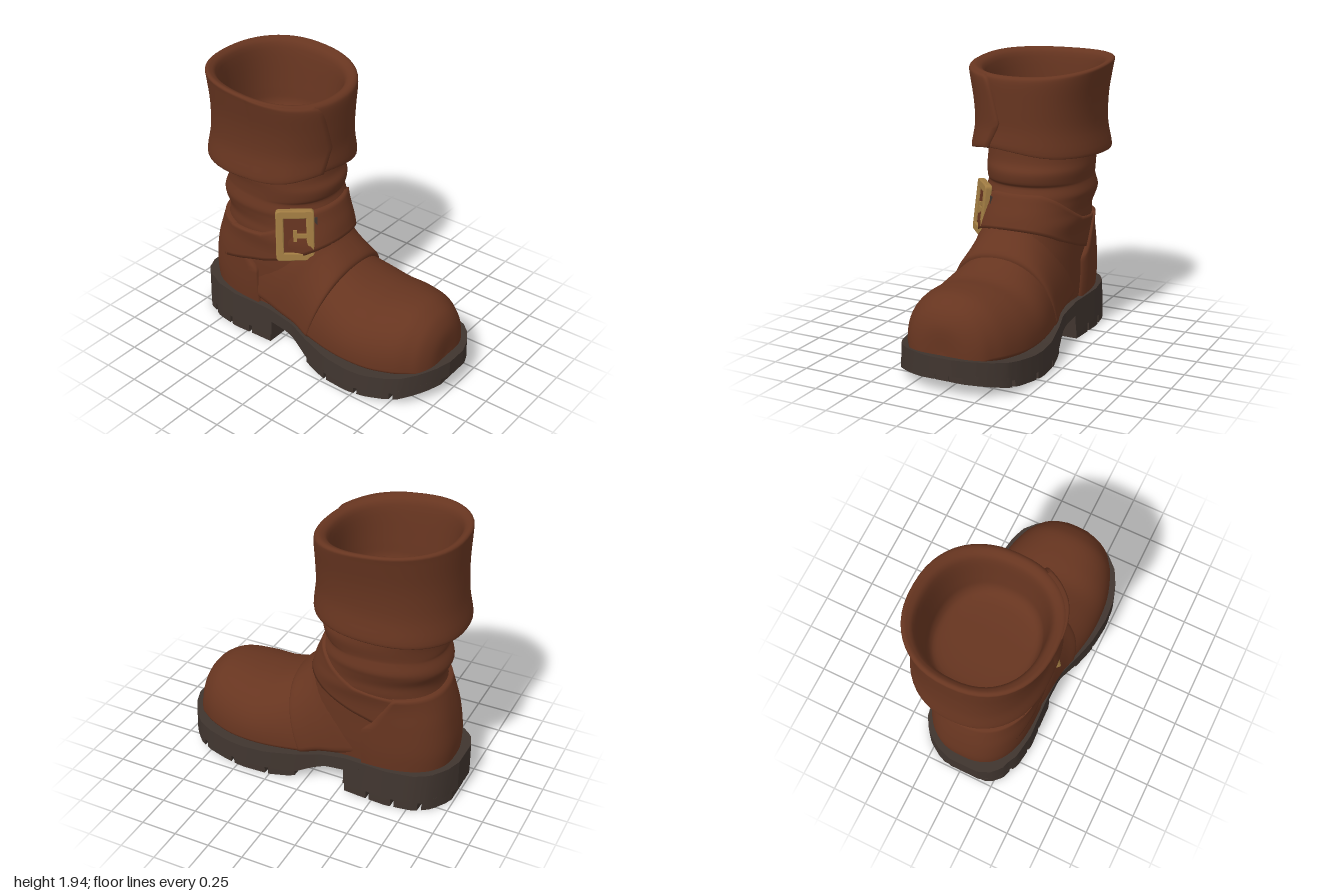
import * as THREE from 'three';

const leather = new THREE.MeshStandardMaterial({ color: 0x673520 });
leather.name = 'brown leather';
const rubber = new THREE.MeshStandardMaterial({ color: 0x40352f });
rubber.name = 'dark rubber';
const brass = new THREE.MeshStandardMaterial({ color: 0xa27d43 });
brass.name = 'brass';

const { lerp, clamp } = THREE.MathUtils;

// Piecewise linear lookup through [key, value] pairs with rising keys
const table = (pts) => (k) => {
  let i = 0;
  while (i < pts.length - 2 && k > pts[i + 1][0]) i++;
  const [a, b] = [pts[i], pts[i + 1]];
  return lerp(a[1], b[1], clamp((k - a[0]) / (b[0] - a[0]), 0, 1));
};

// Ring: [frontZ, frontY, backZ, backY, halfWidth, centreX, centre along front-back, roundness]
function ringAt(rings, k) {
  const i = clamp(Math.floor(k), 0, rings.length - 2), f = k - i;
  const at = (n) => rings[clamp(n, 0, rings.length - 1)];
  return at(i).map((b, n) => {
    const a = at(i - 1)[n], c = at(i + 1)[n], d = at(i + 2)[n];
    return b + 0.5 * f * (c - a + f * (2 * a - 5 * b + 4 * c - d + f * (3 * (b - c) + d - a)));
  });
}

// Point on a lofted surface; t = 0 is the front (or top), o pushes outward
function surf(rings, k, t, o = 0) {
  const [az, ay, bz, by, w, cx, c, n] = ringAt(rings, k);
  const oz = lerp(az, bz, c), oy = lerp(ay, by, c);
  const cos = Math.cos(t), sin = Math.sin(t);
  const dz = (cos > 0 ? az : bz) - oz, dy = (cos > 0 ? ay : by) - oy;
  const len = Math.hypot(dz, dy) || 1e-4;
  const s = Math.abs(cos) ** (2 / n) * (len + o) / len;
  return [cx + Math.sign(sin) * Math.abs(sin) ** (2 / n) * (w + o), oy + dy * s, oz + dz * s];
}

// Grid of quads from fn(u, v); wrap joins the last column to the first
function grid(nu, nv, fn, wrap = false) {
  const pos = [], idx = [], cols = wrap ? nu : nu + 1;
  for (let j = 0; j <= nv; j++) for (let i = 0; i < cols; i++) pos.push(...fn(i / nu, j / nv));
  for (let j = 0; j < nv; j++) for (let i = 0; i < nu; i++) {
    const a = j * cols + i, b = j * cols + (i + 1) % cols, c = a + cols, d = b + cols;
    idx.push(a, b, d, a, d, c);
  }
  const g = new THREE.BufferGeometry();
  g.setAttribute('position', new THREE.Float32BufferAttribute(pos, 3));
  g.setIndex(idx);
  g.computeVertexNormals();
  return g;
}
const loft = (rings, point = surf) => grid(52, (rings.length - 1) * 4,
  (u, v) => point(rings, v * (rings.length - 1), u * Math.PI * 2), true);

// Ankle and shaft: [y, frontZ, backZ, halfWidth, centreX]
const upperRings = [
  [0.2, 0.03, -0.91, 0.315, 0.0], [0.4, 0.06, -0.925, 0.332, 0.0], [0.6, 0.09, -0.9, 0.335, 0.0],
  [0.75, 0.075, -0.865, 0.335, 0.005], [0.85, 0.05, -0.835, 0.35, 0.01], [0.92, 0.03, -0.84, 0.347, 0.015],
  [0.99, 0.0, -0.875, 0.36, 0.02], [1.04, -0.02, -0.87, 0.37, 0.022], [1.1, -0.045, -0.845, 0.357, 0.022],
  [1.13, -0.02, -0.845, 0.353, 0.022], [1.2, -0.01, -0.84, 0.358, 0.025], [1.27, -0.04, -0.85, 0.36, 0.02],
  [1.4, -0.05, -0.855, 0.35, 0.02],
].map(([y, f, b, w, cx]) => [f, y, b, y, w, cx, 0.5, table([[0.6, 2.6], [0.95, 2.15]])(y)]);
const upperK = table(upperRings.map((r, i) => [r[1], i]));
const onUpper = (y, t, o) => surf(upperRings, upperK(y), t, o);
function upperAngle(y, z) {
  const [f, , b, , , , , n] = ringAt(upperRings, upperK(y));
  const q = clamp((z - (f + b) / 2) / ((f - b) / 2), -1, 1);
  return Math.acos(Math.sign(q) * Math.abs(q) ** (n / 2));
}

// Foot: rings fan from the toe up to the instep
const foot = (round, rows) => rows.map(([az, ay, bz, by, w]) => [az, ay, bz, by, w, -0.015, 0.82, round]);
const toeRings = foot(2.2, [
  [0.93, 0.262, 0.93, 0.26, 0.001], [0.93, 0.41, 0.93, 0.17, 0.15], [0.89, 0.505, 0.89, 0.17, 0.25],
  [0.83, 0.56, 0.83, 0.17, 0.305], [0.74, 0.597, 0.74, 0.16, 0.36], [0.58, 0.6, 0.58, 0.15, 0.41],
  [0.43, 0.592, 0.4, 0.15, 0.425], [0.3, 0.628, 0.22, 0.15, 0.415], [0.19, 0.675, 0.02, 0.15, 0.38],
]);
const vampRings = foot(2.35, [
  [0.2, 0.66, 0.03, 0.15, 0.37], [0.195, 0.7, 0.02, 0.15, 0.388], [0.13, 0.77, -0.1, 0.18, 0.363],
  [0.075, 0.83, -0.25, 0.2, 0.35], [0.02, 0.9, -0.4, 0.23, 0.342], [-0.1, 0.93, -0.6, 0.25, 0.32],
]);

// Turned-down cuff, over the rim and down to the lining floor
const cuffRings = [
  [-0.06, 1.38, -0.85, 1.35, 0.345], [0.02, 1.325, -0.95, 1.295, 0.43], [0.042, 1.34, -0.972, 1.32, 0.452],
  [0.03, 1.5, -0.945, 1.48, 0.425], [0.033, 1.65, -0.932, 1.68, 0.432], [0.035, 1.8, -0.935, 1.88, 0.465],
  [0.02, 1.845, -0.932, 1.93, 0.472], [-0.02, 1.85, -0.9, 1.932, 0.44], [-0.06, 1.8, -0.865, 1.87, 0.39],
  [-0.085, 1.6, -0.84, 1.6, 0.355], [-0.11, 1.48, -0.82, 1.48, 0.335], [-0.2, 1.43, -0.73, 1.43, 0.26],
  [-0.459, 1.42, -0.461, 1.42, 0.001],
].map((r) => [...r, 0.018, 0.5, 2.25]);
// The rim rises at the sides, and the lower edge lifts near the flap
const rimLift = table([[3, 0], [5, 0.022], [8, 0.022], [9, 0]]);
const hemLift = table([[0, 0.05], [2, 0.05], [3, 0]]);
function cuffPoint(rings, k, t, o) {
  const [x, y, z] = surf(rings, k, t, o);
  return [x, y + rimLift(k) * Math.sin(t) ** 2 + hemLift(k) * Math.max(0, Math.cos(t + 0.3)) ** 6, z];
}

// Sole outline and heights along z
const soleWidth = table([[-1, 0.11], [-0.97, 0.2], [-0.9, 0.29], [-0.78, 0.355], [-0.6, 0.382], [-0.28, 0.365],
  [-0.1, 0.36], [0.05, 0.4], [0.25, 0.45], [0.45, 0.472], [0.6, 0.46], [0.72, 0.43], [0.82, 0.385], [0.9, 0.3], [0.96, 0.2], [1, 0.08]]);
const soleCentre = table([[-1, -0.04], [-0.85, 0], [-0.4, 0], [0.2, -0.015], [0.6, -0.015], [1, 0.01]]);
const soleTop = table([[-1, 0.285], [-0.3, 0.27], [-0.1, 0.23], [0.05, 0.2], [0.3, 0.18], [0.55, 0.185], [0.8, 0.215], [1, 0.25]]);
const soleUnder = table([[-0.4, 0.18], [-0.28, 0.17], [-0.15, 0.15], [-0.02, 0.1], [0.08, 0.05], [0.25, 0.05], [0.5, 0.06], [0.8, 0.095], [1, 0.14]]);
const treadUnder = table([[0.05, 0.03], [0.12, 0.01], [0.25, 0], [0.5, 0.015], [0.8, 0.05], [1, 0.1]]);

// Box bent to the sole outline between z0..z1 and across u0..u1
function soleBlock(z0, z1, u0, u1, bottom, top, segs) {
  const g = new THREE.BoxGeometry(1, 1, 1, 4, 2, segs), p = g.attributes.position;
  for (let i = 0; i < p.count; i++) {
    const z = lerp(z0, z1, p.getZ(i) + 0.5), v = p.getY(i) + 0.5;
    const y = lerp(bottom(z), top(z), v);
    const x = soleCentre(z) + soleWidth(z) * lerp(u0, u1, p.getX(i) + 0.5) * (1 - 0.1 * Math.max(0, y - 0.05));
    p.setXYZ(i, x, y, z);
  }
  g.computeVertexNormals();
  return g;
}

function roundedRect(Target, w, h, r) {
  const s = new Target(), x = w / 2, y = h / 2;
  s.moveTo(-x + r, -y).lineTo(x - r, -y).quadraticCurveTo(x, -y, x, -y + r).lineTo(x, y - r)
    .quadraticCurveTo(x, y, x - r, y).lineTo(-x + r, y).quadraticCurveTo(-x, y, -x, y - r)
    .lineTo(-x, -y + r).quadraticCurveTo(-x, -y, -x + r, -y);
  return s;
}

export function createModel() {
  const boot = new THREE.Group();
  boot.name = 'boot';
  const add = (name, geo, mat, parent = boot) => {
    const m = new THREE.Mesh(geo, mat);
    m.name = name;
    parent.add(m);
    return m;
  };

  add('shaft', loft(upperRings), leather);
  add('toeCap', loft(toeRings), leather);
  add('vamp', loft(vampRings), leather);
  add('cuff', loft(cuffRings, cuffPoint), leather);

  // Overlapping cuff flap with a pointed edge
  const flapEdge = table([[1, -0.36], [2.2, -0.33], [3.25, -0.19], [6, -0.42]]);
  add('cuffFlap', grid(16, 24, (u, v) => {
    const k = lerp(1.2, 6.2, clamp((v * 24 - 1) / 22, 0, 1));
    const t = lerp(-1.5, flapEdge(k), Math.min(1, u * 16 / 15));
    const edge = u === 0 || u === 1 || v === 0 || v === 1;
    return cuffPoint(cuffRings, k, t, edge ? -0.01 : 0.02 * Math.min(1, u * 2));
  }), leather);

  // Heel counter wrapped around the back
  const counterEdge = table([[0.2, -0.41], [0.55, -0.41], [0.62, -0.48], [0.83, -0.61]]);
  add('heelCounter', grid(40, 20, (u, v) => {
    const y = lerp(0.23, 0.835, Math.min(1, v * 20 / 19));
    const e = upperAngle(y, counterEdge(y));
    const edge = u === 0 || u === 1 || v === 1;
    return onUpper(y, lerp(e, Math.PI * 2 - e, clamp((u * 40 - 1) / 38, 0, 1)), edge ? -0.01 : 0.027);
  }), leather);

  // Strap sloping down from the instep to the heel counter
  const strapTop = table([[-0.65, 0.82], [-0.36, 0.865], [-0.15, 0.965], [0, 1.06]]);
  const strapEnd = upperAngle(0.8, -0.65);
  add('strap', grid(56, 12, (u, v) => {
    const t = lerp(-strapEnd, strapEnd, u);
    const z = onUpper(0.9, t, 0)[2];
    const y = lerp(0.835 + 0.44 * (z - 0.05), strapTop(z), clamp((v * 12 - 1) / 10, 0, 1));
    return onUpper(y, t, v === 0 || v === 1 ? -0.015 : 0.02 - 0.008 * Math.sin(t));
  }), leather);

  // Sole, heel block and tread
  add('sole', soleBlock(-0.4, 1, -1, 1, soleUnder, soleTop, 40), rubber);
  add('heel', soleBlock(-1, -0.28, -1, 1, () => 0.06, soleTop, 20), rubber);
  const columns = [[-1, -0.36], [-0.31, 0.31], [0.36, 1]];
  const treadRows = [0.06, 0.27, 0.53, 0.77, 0.99], heelRows = [-0.995, -0.83, -0.65, -0.47, -0.28];
  for (const [name, rows, bottom] of [['treadLug', treadRows, treadUnder], ['heelLug', heelRows, () => 0]]) {
    const top = name === 'heelLug' ? () => 0.08 : (z) => soleUnder(z) + 0.02;
    for (let r = 0; r < rows.length - 1; r++) {
      columns.forEach(([u0, u1], c) => {
        const shift = c === 1 && r > 0 ? 0.03 : 0;
        add(name, soleBlock(rows[r] + 0.012 + shift, rows[r + 1] - 0.012, u0, u1, bottom, top, 6), rubber);
      });
    }
  }

  // Buckle on the right side of the strap
  const buckle = new THREE.Group();
  buckle.name = 'buckle';
  const frame = roundedRect(THREE.Shape, 0.24, 0.35, 0.02);
  frame.holes.push(roundedRect(THREE.Path, 0.165, 0.265, 0.01));
  add('buckleFrame', new THREE.ExtrudeGeometry(frame, {
    depth: 0.03, bevelEnabled: true, bevelSize: 0.008, bevelThickness: 0.01, bevelSegments: 2,
  }), brass, buckle).position.z = -0.01;
  add('strapEnd', new THREE.BoxGeometry(0.2, 0.3, 0.05), leather, buckle).position.z = -0.012;
  add('buckleBacking', new THREE.BoxGeometry(0.15, 0.23, 0.03), rubber, buckle).position.set(0.075, 0, -0.025);
  add('buckleProng', new THREE.BoxGeometry(0.1, 0.028, 0.025), brass, buckle).position.set(0.045, 0, 0.018);
  add('prongLoop', new THREE.BoxGeometry(0.025, 0.08, 0.025), brass, buckle).position.set(0.0, 0, 0.016);
  buckle.position.set(...onUpper(0.91, -0.93, 0.012));
  buckle.rotation.set(-0.12, -0.88, 0, 'YXZ');
  boot.add(buckle);

  return boot;
}
